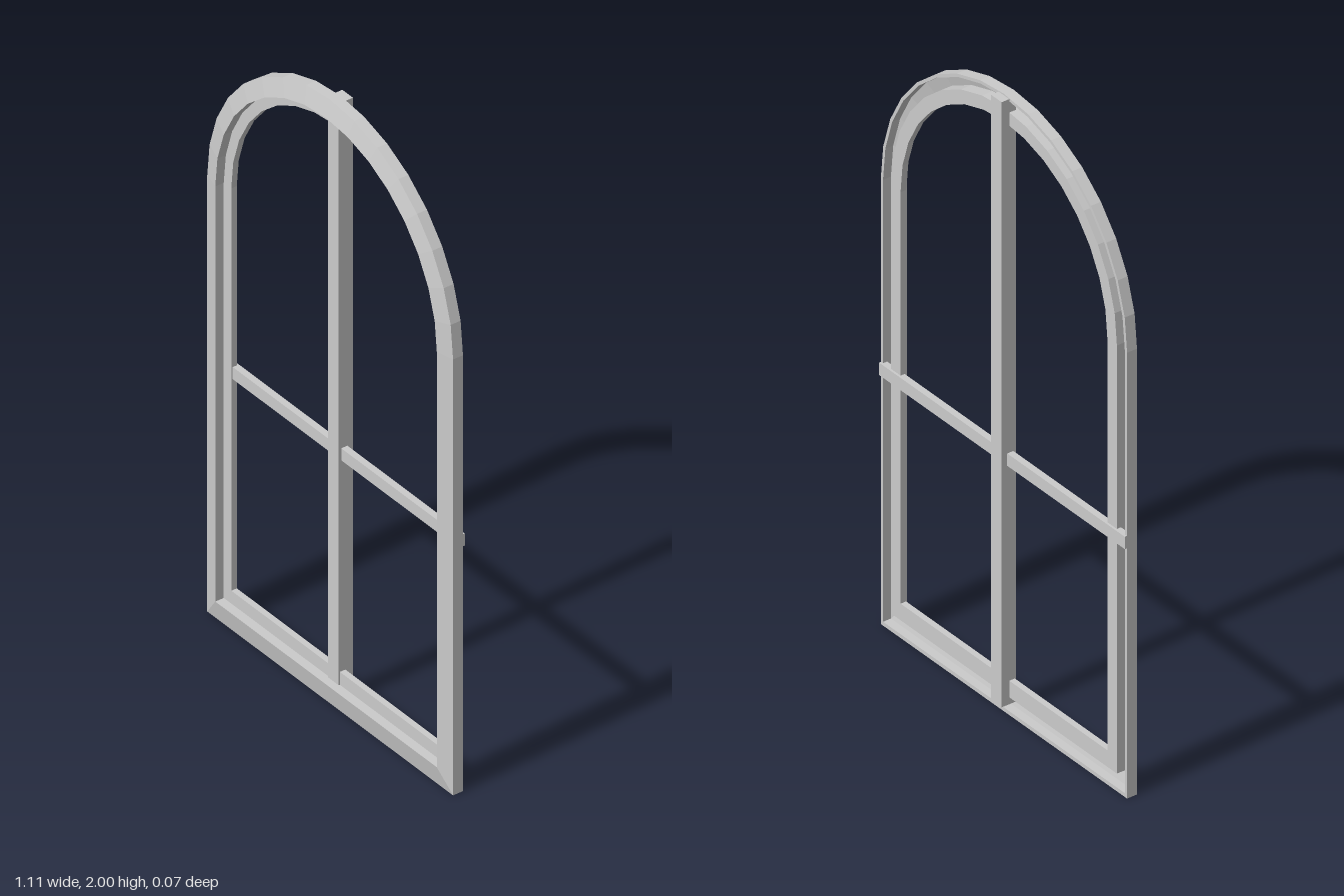
import * as THREE from 'three';

const HALF = 0.556, SPRING = 2 - HALF, ARCH_SEGMENTS = 16, SILL_SCALE = 1.25;

const material = new THREE.MeshStandardMaterial({ color: 0xcccccc, flatShading: true });

// Arched outline, counter-clockwise from the front, moved inwards by d
function outline(d) {
  const r = HALF - d;
  const pts = [[-r, d * SILL_SCALE], [r, d * SILL_SCALE]];
  for (let i = 0; i <= ARCH_SEGMENTS; i++) {
    const a = (Math.PI * i) / ARCH_SEGMENTS;
    pts.push([r * Math.cos(a), SPRING + r * Math.sin(a)]);
  }
  return pts;
}

// Sweeps a closed section of [inset, z] corners around the arched outline
function sweep(name, section) {
  const positions = [], index = [];
  const count = outline(0).length, n = section.length;
  for (const [d, z] of section) {
    for (const [x, y] of outline(d)) positions.push(x, y, z);
  }
  for (let i = 0; i < n; i++) {
    for (let j = 0; j < count; j++) {
      const i2 = (i + 1) % n, j2 = (j + 1) % count;
      const a = i * count + j, b = i2 * count + j;
      const c = i2 * count + j2, e = i * count + j2;
      index.push(a, b, c, a, c, e);
    }
  }
  const indexed = new THREE.BufferGeometry();
  indexed.setAttribute('position', new THREE.Float32BufferAttribute(positions, 3));
  indexed.setIndex(index);
  const geometry = indexed.toNonIndexed();
  geometry.computeVertexNormals();
  const mesh = new THREE.Mesh(geometry, material);
  mesh.name = name;
  return mesh;
}

// Box given by its lower and upper corners
function bar(name, [x0, y0, z0], [x1, y1, z1]) {
  const mesh = new THREE.Mesh(new THREE.BoxGeometry(x1 - x0, y1 - y0, z1 - z0), material);
  mesh.position.set((x0 + x1) / 2, (y0 + y1) / 2, (z0 + z1) / 2);
  mesh.name = name;
  return mesh;
}

export function createModel() {
  const group = new THREE.Group();
  group.name = 'archedWindow';

  // Outer casing: bevelled front, hollow at the back
  group.add(sweep('outerFrame', [
    [0, -0.011], [0.01, -0.011], [0.01, 0.016], [0.046, 0.026],
    [0.046, 0], [0.055, 0], [0.055, 0.037], [0, 0.023],
  ]));

  // Inner sash, set back from the casing face
  group.add(sweep('sash', [
    [0.046, -0.011], [0.089, -0.011], [0.089, 0.008], [0.046, 0.008],
  ]));

  // Glazing bars
  group.add(bar('verticalBar', [-0.024, 0.035, -0.037], [0.024, 1.995, 0.012]));
  group.add(bar('horizontalBar', [-0.555, 0.81, -0.018], [0.555, 0.85, 0.003]));

  return group;
}
